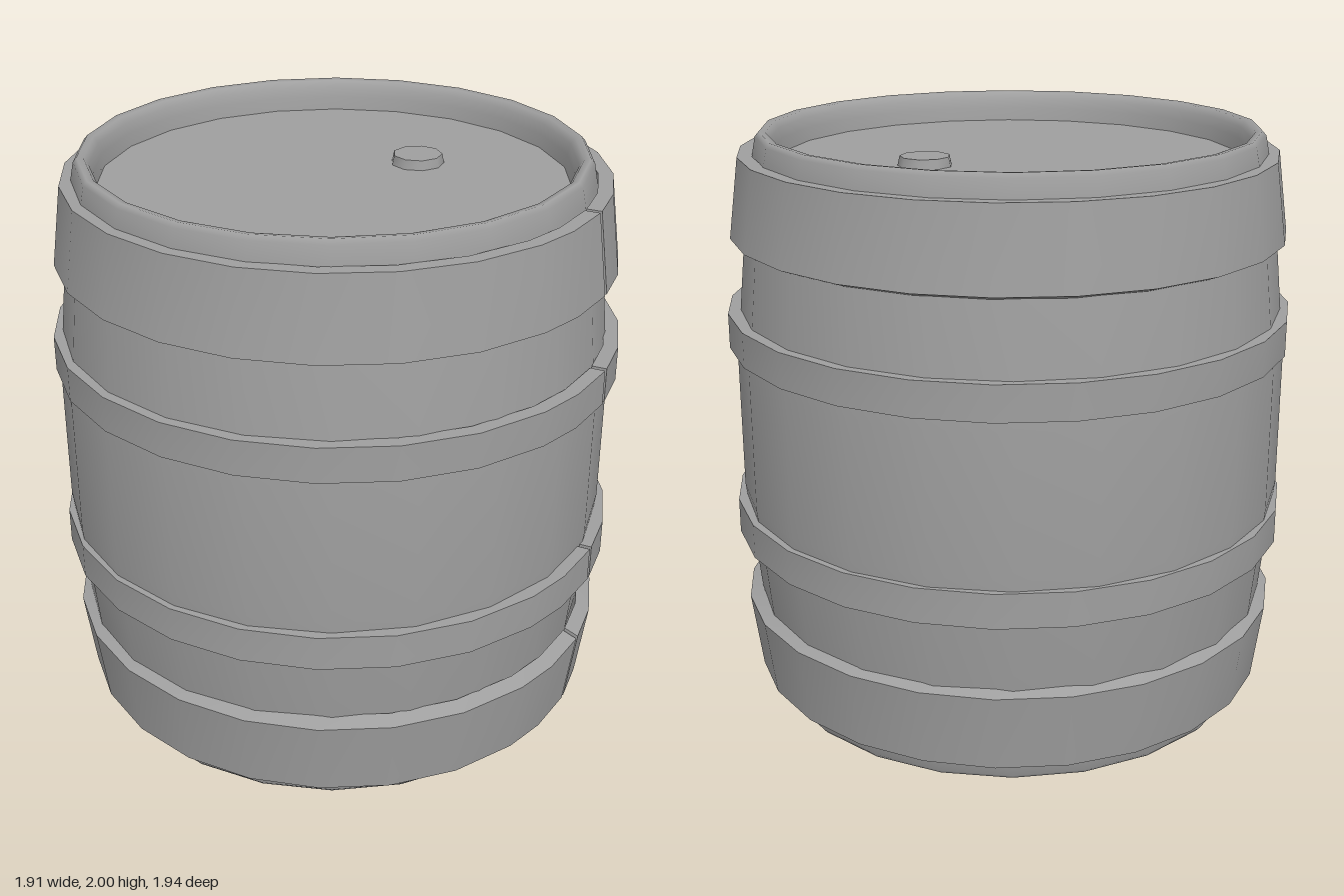
import * as THREE from 'three';
import { toCreasedNormals } from 'three/addons/utils/BufferGeometryUtils.js';

const darkGrey = new THREE.MeshStandardMaterial({ color: 0x9f9f9f });
const SIDES = 22;

function addMesh(parent, name, geometry, x = 0, y = 0, z = 0) {
  const mesh = new THREE.Mesh(geometry, darkGrey);
  mesh.name = name;
  mesh.position.set(x, y, z);
  parent.add(mesh);
}

// Split metal band: a four-cornered section (outer bottom, outer top, inner top,
// inner bottom) swept round, open at a narrow slit near the front
function hoopGeometry(section) {
  const angles = [15.3, 26, 39, 53];
  for (let a = 67.5; a < 355; a += 15) angles.push(a);
  angles.push(362.4, 374.3);

  const rings = angles.map((deg) => {
    const t = THREE.MathUtils.degToRad(deg);
    return section.map(([r, y]) => [r * Math.sin(t), y, 1.01 * r * Math.cos(t)]);
  });
  const positions = [];
  const quad = (a, b, c, d) => positions.push(...a, ...b, ...c, ...a, ...c, ...d);
  for (let i = 0; i < rings.length - 1; i++) {
    for (let j = 0; j < 4; j++) {
      const k = (j + 1) % 4;
      quad(rings[i][j], rings[i + 1][j], rings[i + 1][k], rings[i][k]);
    }
  }
  // End faces at the slit
  quad(...rings[0]);
  quad(...rings[rings.length - 1].slice().reverse());

  const geometry = new THREE.BufferGeometry();
  geometry.setAttribute('position', new THREE.Float32BufferAttribute(positions, 3));
  return toCreasedNormals(geometry, Math.PI / 6);
}

// The same section turned upside down for the lower half of the barrel
const mirrored = (section) => section.map(([r, y]) => [r, 2 - y]).reverse();

export function createModel() {
  const model = new THREE.Group();
  model.name = 'barrel';

  // Staves: upper half of the profile, mirrored for the lower half
  const upper = [
    [0.948, 1.24], [0.93, 1.4], [0.905, 1.65], [0.865, 1.925], [0.853, 1.985],
    [0.84, 2], [0.818, 1.997], [0.803, 1.975], [0.793, 1.94], [0.786, 1.89],
  ];
  const profile = [...mirrored(upper), ...upper].map(([r, y]) => new THREE.Vector2(r, y));
  addMesh(model, 'staves', new THREE.LatheGeometry(profile, SIDES), 0, 0, -0.01);

  // Recessed heads at both ends
  for (const [name, y, turn] of [['topHead', 1.895, -1], ['bottomHead', 0.105, 1]]) {
    const head = new THREE.CircleGeometry(0.79, SIDES);
    head.rotateZ(Math.PI / 2);
    head.rotateX(turn * Math.PI / 2);
    addMesh(model, name, head, 0, y, -0.01);
  }

  // Bung on the top head
  const bung = new THREE.CylinderGeometry(0.084, 0.095, 0.05, 9);
  addMesh(model, 'bung', toCreasedNormals(bung, Math.PI / 4), 0.305, 1.902, 0.1);

  // Hoops: flared at the ends, straight round the belly
  const endHoop = [[0.943, 1.655], [0.907, 1.925], [0.857, 1.925], [0.893, 1.635]];
  const bellyHoop = [[0.964, 1.278], [0.964, 1.398], [0.914, 1.398], [0.914, 1.278]];
  addMesh(model, 'topHoop', hoopGeometry(endHoop));
  addMesh(model, 'upperHoop', hoopGeometry(bellyHoop));
  addMesh(model, 'lowerHoop', hoopGeometry(mirrored(bellyHoop)));
  addMesh(model, 'bottomHoop', hoopGeometry(mirrored(endHoop)));

  return model;
}
